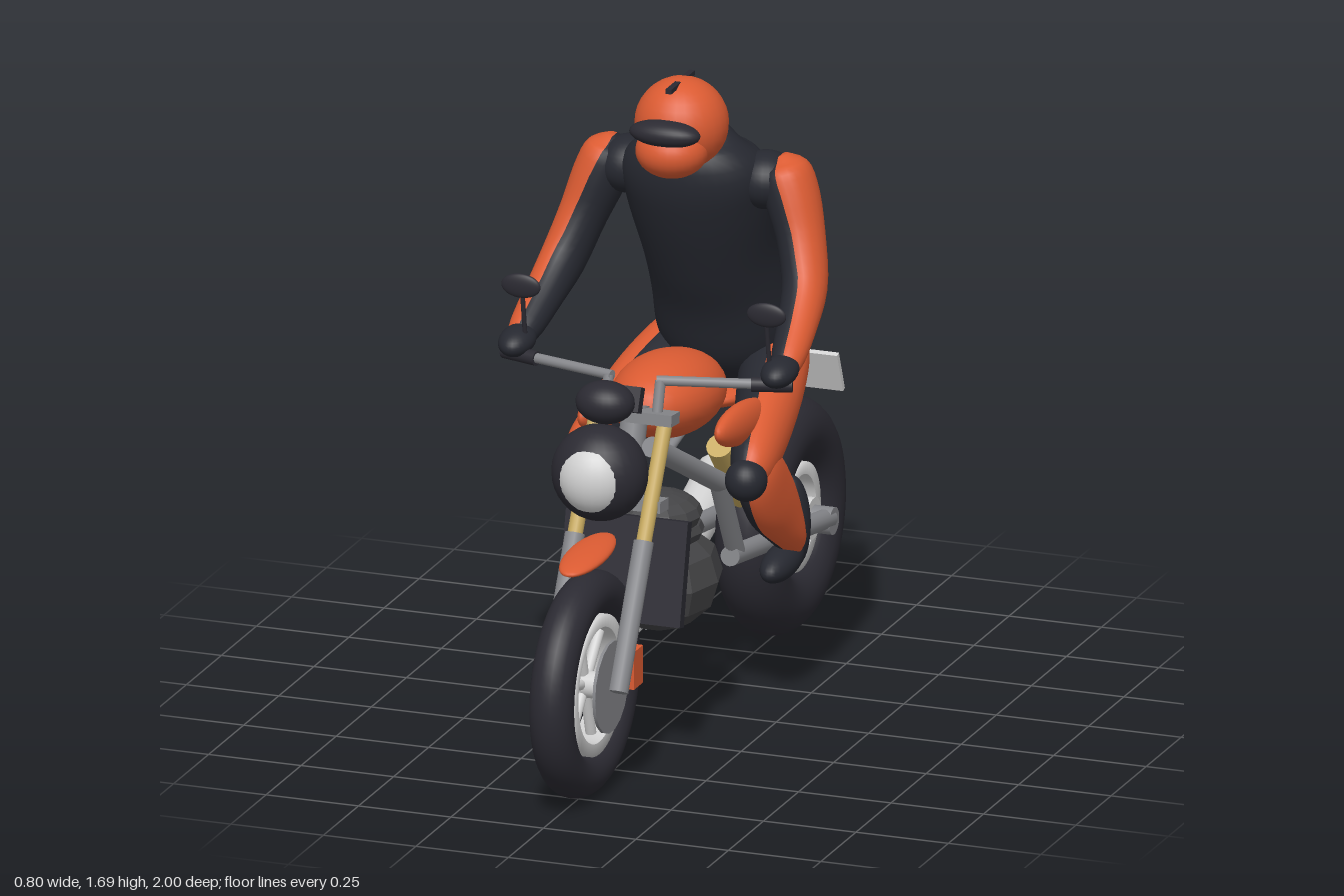
import * as THREE from 'three';

const V = (x, y, z) => new THREE.Vector3(x, y, z);
const mat = (name, color) => Object.assign(new THREE.MeshStandardMaterial({ color }), { name });

export function createModel() {
  const orange = mat('orange', 0xdb5b32);
  const suit = mat('dark suit', 0x262830);
  const rubber = mat('rubber', 0x2b2a32);
  const silver = mat('silver', 0xd2d2d2);
  const steel = mat('steel grey', 0x85868a);
  const gold = mat('gold', 0xc6a95f);
  const castMetal = mat('engine grey', 0x444446);
  castMetal.flatShading = true;
  const model = new THREE.Group();
  model.name = 'motorcycleAndRider';

  const add = (name, geo, material, pos = [0, 0, 0], rot = [0, 0, 0], parent = model) => {
    const m = new THREE.Mesh(geo, material);
    m.name = name;
    m.position.set(...pos);
    m.rotation.set(...rot);
    parent.add(m);
    return m;
  };
  const box = (name, size, material, pos, rot) => add(name, new THREE.BoxGeometry(...size), material, pos, rot);
  const ball = (name, radii, material, pos, rot, w = 28, h = 18) =>
    add(name, new THREE.SphereGeometry(1, w, h).scale(...radii), material, pos, rot);
  // Cylinder running from point a to point b
  const rod = (name, a, b, r, material, r2 = r, parent = model) => {
    const p = V(...a), q = V(...b), d = q.clone().sub(p);
    const m = add(name, new THREE.CylinderGeometry(r2, r, d.length(), 18), material,
      p.clone().add(q).multiplyScalar(0.5).toArray(), [0, 0, 0], parent);
    m.quaternion.setFromUnitVectors(V(0, 1, 0), d.normalize());
    return m;
  };

  // Smooth body part through stations [x, y, z, sideRadius, depthRadius];
  // the columns facing away from the body take the second material
  const limb = (name, stations, s, materials, steps = 24, cols = 24) => {
    const path = new THREE.CatmullRomCurve3(stations.map(p => V(p[0], p[1], p[2])), false, 'catmullrom');
    const size = new THREE.CatmullRomCurve3(stations.map(p => V(p[3], p[4] ?? p[3], 0)), false, 'catmullrom');
    const pos = [], faces = [[], []];
    for (let i = 0; i <= steps; i++) {
      const c = path.getPoint(i / steps), t = path.getTangent(i / steps), r = size.getPoint(i / steps);
      const u = V(1, 0, 0).addScaledVector(t, -t.x).normalize(), v = t.clone().cross(u);
      for (let j = 0; j < cols; j++) {
        const a = (j / cols) * Math.PI * 2;
        const p = c.clone().addScaledVector(u, Math.cos(a) * r.x).addScaledVector(v, Math.sin(a) * r.y);
        pos.push(p.x * s, p.y, p.z);
      }
    }
    for (const end of [0, stations.length - 1]) pos.push(stations[end][0] * s, stations[end][1], stations[end][2]);
    const first = (steps + 1) * cols;
    const tri = (list, a, b, c) => (s > 0 ? list.push(a, b, c) : list.push(a, c, b));
    for (let j = 0; j < cols; j++) {
      const k = (j + 1) % cols;
      const list = faces[Math.cos(((j + 0.5) / cols) * Math.PI * 2) > 0.1 ? 1 : 0];
      for (let i = 0; i < steps; i++) {
        const o = i * cols, n = o + cols;
        tri(list, o + j, o + k, n + j);
        tri(list, o + k, n + k, n + j);
      }
      tri(list, first, k, j);
      tri(list, first + 1, steps * cols + j, steps * cols + k);
    }
    const g = new THREE.BufferGeometry();
    g.setAttribute('position', new THREE.Float32BufferAttribute(pos, 3));
    g.setIndex([...faces[0], ...faces[1]]);
    g.addGroup(0, faces[0].length, 0);
    g.addGroup(faces[0].length, faces[1].length, 1);
    g.computeVertexNormals();
    return add(name, g, materials);
  };

  // Wheels: tyre, rim barrel, hub and spokes
  const wheel = (name, y, z, R, tube, rimIn, rimOut, rimW, hubR, hubW) => {
    const g = new THREE.Group();
    g.name = name;
    g.position.set(0, y, z);
    model.add(g);
    add('tyre', new THREE.TorusGeometry(R, tube, 24, 64).rotateY(Math.PI / 2), rubber, [0, 0, 0], [0, 0, 0], g);
    const w = rimW / 2;
    const ring = [[rimIn, -w], [rimOut, -w], [rimOut, w], [rimIn, w], [rimIn, -w]].map(p => new THREE.Vector2(...p));
    add('rim', new THREE.LatheGeometry(ring, 48).rotateZ(Math.PI / 2), silver, [0, 0, 0], [0, 0, 0], g).material = silver;
    rod('hub', [-hubW, 0, 0], [hubW, 0, 0], hubR, silver, hubR, g);
    for (let i = 0; i < 6; i++) {
      const a = (i / 6) * Math.PI * 2 + 0.3, c = Math.cos(a), d = Math.sin(a);
      rod('spoke', [0, c * 0.02, d * 0.02], [0, c * (rimIn + 0.01), d * (rimIn + 0.01)], 0.014, silver, 0.014, g);
    }
  };
  silver.side = THREE.DoubleSide;
  wheel('frontWheel', 0.3, 0.706, 0.235, 0.057, 0.15, 0.183, 0.08, 0.035, 0.06);
  wheel('rearWheel', 0.315, -0.69, 0.22, 0.088, 0.11, 0.142, 0.11, 0.055, 0.09);

  // Front end
  ball('frontFender', [0.055, 0.02, 0.145], orange, [0, 0.637, 0.685], [0.08, 0, 0]);
  box('upperClamp', [0.24, 0.03, 0.06], steel, [0, 0.915, 0.375], [-0.1, 0, 0]);
  box('lowerClamp', [0.24, 0.03, 0.06], steel, [0, 0.71, 0.455], [-0.1, 0, 0]);
  rod('steeringHead', [0, 0.7, 0.42], [0, 0.93, 0.34], 0.035, steel);
  ball('headlightShell', [0.125, 0.125, 0.11], rubber, [0, 0.83, 0.598]);
  ball('headlightLens', [0.097, 0.1, 0.085], silver, [0, 0.83, 0.632]);
  ball('instrument', [0.077, 0.055, 0.063], rubber, [0, 1.005, 0.56]);
  box('display', [0.12, 0.065, 0.03], rubber, [0, 0.985, 0.46], [-0.4, 0, 0]);
  box('radiator', [0.33, 0.27, 0.03], rubber, [0, 0.52, 0.42], [-0.22, 0, 0]);

  // Engine and bodywork
  ball('engineCase', [0.15, 0.135, 0.185], castMetal, [0, 0.415, 0.15], [0, 0, 0], 10, 6);
  ball('lowerCylinder', [0.11, 0.05, 0.11], castMetal, [0, 0.545, 0.16], [0, 0, 0], 14, 8);
  ball('upperCylinder', [0.12, 0.058, 0.12], castMetal, [0, 0.6, 0.2], [0, 0, 0], 14, 8);
  ball('fuelTank', [0.135, 0.108, 0.225], orange, [0, 0.89, 0.11], [-0.08, 0, 0]);
  ball('seat', [0.11, 0.04, 0.19], orange, [0, 0.79, -0.31]);
  ball('tailCowl', [0.075, 0.045, 0.165], orange, [0, 0.87, -0.61], [-0.24, 0, 0]);
  box('tailLight', [0.13, 0.035, 0.025], orange, [0, 0.863, -0.817]);
  rod('plateBracket', [0, 0.81, -0.72], [0, 0.67, -0.86], 0.012, rubber);
  box('rearPlate', [0.2, 0.115, 0.014], silver, [0, 0.655, -0.857], [0.38, 0, 0]);
  rod('rearShock', [0, 0.635, -0.255], [0, 0.45, -0.42], 0.035, gold);

  // Exhaust on one side only
  const pipe = new THREE.CurvePath();
  const bends = [V(-0.1, 0.49, 0.32), V(-0.14, 0.23, 0.31), V(-0.14, 0.205, 0.28), V(-0.16, 0.205, -0.16)];
  for (let i = 0; i < 3; i++) pipe.add(new THREE.LineCurve3(bends[i], bends[i + 1]));
  add('exhaustPipe', new THREE.TubeGeometry(pipe, 48, 0.026, 14), silver);
  rod('silencer', [-0.16, 0.21, -0.14], [-0.195, 0.375, -0.77], 0.055, silver, 0.062);

  // Rider's trunk and helmet
  limb('torso', [
    [0, 0.78, -0.4, 0.06, 0.05], [0, 0.85, -0.365, 0.155, 0.12], [0, 0.96, -0.31, 0.18, 0.165],
    [0, 1.09, -0.24, 0.172, 0.15], [0, 1.2, -0.185, 0.172, 0.152], [0, 1.36, -0.11, 0.19, 0.148],
    [0, 1.46, -0.065, 0.185, 0.13], [0, 1.53, -0.055, 0.11, 0.085], [0, 1.56, -0.04, 0.06, 0.05],
  ], 1, [suit, suit], 40, 32);
  ball('helmet', [0.12, 0.12, 0.122], orange, [0, 1.58, 0.015]);
  ball('helmetChin', [0.093, 0.07, 0.09], orange, [0, 1.528, 0.085]);
  ball('visor', [0.095, 0.034, 0.045], rubber, [0, 1.588, 0.135]);
  box('helmetVent', [0.016, 0.012, 0.17], rubber, [0, 1.691, 0.025]);

  for (const s of [1, -1]) {
    // Fork, brake and handlebar
    const f = 0.093 * s;
    rod('forkLower', [f, 0.29, 0.712], [f, 0.635, 0.53], 0.026, steel);
    rod('forkUpper', [f, 0.62, 0.537], [f, 0.91, 0.375], 0.02, gold);
    rod('brakeDisc', [0.066 * s, 0.3, 0.706], [0.074 * s, 0.3, 0.706], 0.12, steel);
    box('brakeCaliper', [0.03, 0.1, 0.065], orange, [0.098 * s, 0.33, 0.62]);
    rod('barRiser', [0.07 * s, 0.92, 0.375], [0.07 * s, 1.005, 0.35], 0.014, steel);
    rod('handlebar', [0.06 * s, 1.005, 0.352], [0.38 * s, 1.0, 0.255], 0.013, steel);
    rod('handGrip', [0.29 * s, 1.0, 0.282], [0.39 * s, 1.0, 0.252], 0.019, rubber);
    rod('mirrorStalk', [0.33 * s, 1.02, 0.255], [0.33 * s, 1.18, 0.282], 0.006, rubber);
    ball('mirror', [0.053, 0.032, 0.012], rubber, [0.332 * s, 1.19, 0.285]);

    // Frame
    rod('frameBeam', [0.06 * s, 0.84, 0.39], [0.12 * s, 0.65, 0.06], 0.027, steel);
    rod('frameLower', [0.12 * s, 0.66, 0.07], [0.11 * s, 0.42, -0.08], 0.025, steel);
    rod('swingArm', [0.11 * s, 0.42, -0.04], [0.125 * s, 0.318, -0.7], 0.026, steel);
    rod('axleNut', [0.08 * s, 0.315, -0.69], [0.145 * s, 0.315, -0.69], 0.036, steel);
    rod('subframe', [0.11 * s, 0.62, -0.12], [0.06 * s, 0.83, -0.715], 0.013, steel);
    ball('sidePanel', [0.035, 0.055, 0.18], orange, [0.185 * s, 0.82, 0.07], [-0.12, 0, 0]);

    // Rider's arm
    ball('shoulder', [0.085, 0.075, 0.085], suit, [0.185 * s, 1.415, -0.1]);
    limb('arm', [
      [0.225, 1.485, -0.1, 0.02], [0.235, 1.45, -0.1, 0.062, 0.07], [0.26, 1.38, -0.09, 0.07, 0.08],
      [0.295, 1.28, -0.06, 0.062, 0.072], [0.325, 1.18, -0.005, 0.058, 0.068],
      [0.342, 1.11, 0.09, 0.052, 0.052], [0.355, 1.045, 0.2, 0.042, 0.04], [0.357, 1.03, 0.25, 0.02],
    ], s, [suit, orange]);
    ball('glove', [0.046, 0.036, 0.068], suit, [0.355 * s, 1.032, 0.25], [0.15, 0, 0]);

    // Rider's leg
    limb('thigh', [
      [0.1, 0.9, -0.39, 0.05], [0.125, 0.885, -0.33, 0.085, 0.075], [0.165, 0.825, -0.18, 0.085, 0.09],
      [0.2, 0.76, -0.02, 0.07, 0.088], [0.222, 0.72, 0.1, 0.055, 0.068], [0.227, 0.705, 0.16, 0.03],
    ], s, [suit, orange]);
    limb('lowerLeg', [
      [0.225, 0.75, 0.12, 0.025], [0.228, 0.7, 0.08, 0.052, 0.08], [0.23, 0.62, 0.01, 0.056, 0.098],
      [0.232, 0.54, -0.07, 0.052, 0.08], [0.232, 0.46, -0.135, 0.046, 0.045], [0.23, 0.42, -0.155, 0.03],
    ], s, [suit, orange]);
    ball('kneePad', [0.054, 0.055, 0.055], suit, [0.225 * s, 0.695, 0.148]);
    ball('bootShaft', [0.044, 0.125, 0.048], suit, [0.222 * s, 0.478, -0.195], [0.08, 0, 0]);
    ball('bootFoot', [0.045, 0.042, 0.108], suit, [0.222 * s, 0.397, -0.115], [0.1, 0, 0]);
  }
  return model;
}
